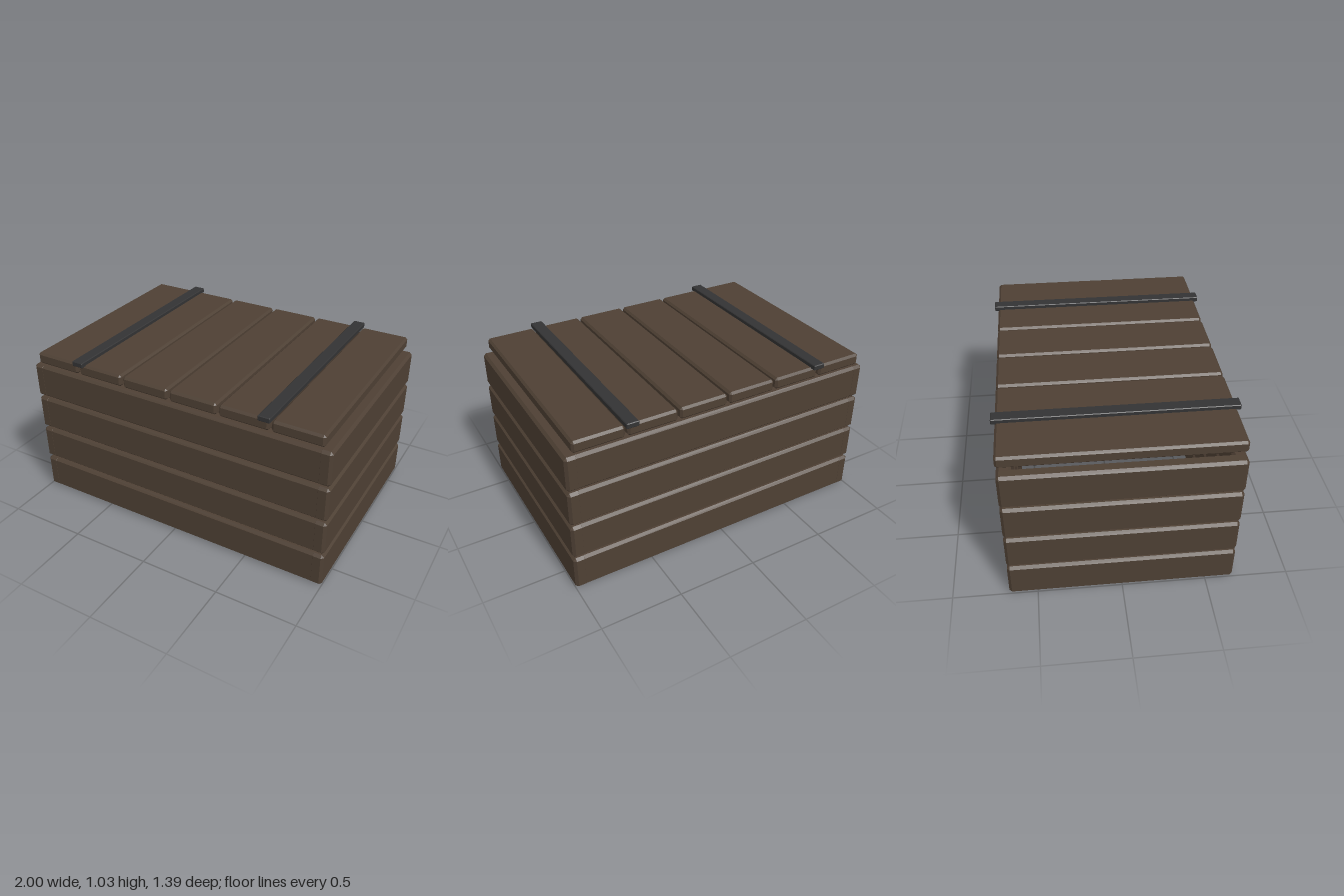
import * as THREE from 'three';
import { ConvexGeometry } from 'three/addons/geometries/ConvexGeometry.js';

const wood = new THREE.MeshStandardMaterial({ color: 0x4e4034 });
wood.name = 'darkWood';
const iron = new THREE.MeshStandardMaterial({ color: 0x333334 });
iron.name = 'darkIron';

// Box with every edge chamfered by c
function chamferedBox(w, h, d, c) {
  const half = [w / 2, h / 2, d / 2];
  const points = [];
  for (const sx of [-1, 1]) for (const sy of [-1, 1]) for (const sz of [-1, 1]) {
    for (let full = 0; full < 3; full++) {
      const p = half.map((v, i) => (i === full ? v : v - c));
      points.push(new THREE.Vector3(p[0] * sx, p[1] * sy, p[2] * sz));
    }
  }
  return new ConvexGeometry(points);
}

function addPart(parent, name, geometry, material, x, y, z) {
  const mesh = new THREE.Mesh(geometry, material);
  mesh.name = name;
  mesh.position.set(x, y, z);
  parent.add(mesh);
}

export function createModel() {
  const crate = new THREE.Group();
  crate.name = 'crate';

  // Four courses of wall boards, open at the bottom
  const walls = new THREE.Group();
  walls.name = 'walls';
  const longBoard = chamferedBox(1.91, 0.22, 0.08, 0.016);
  const endBoard = chamferedBox(0.08, 0.22, 1.336, 0.016);
  for (let i = 0; i < 4; i++) {
    const y = 0.111 + i * 0.2325;
    addPart(walls, 'frontBoard', longBoard, wood, 0, y, 0.627);
    addPart(walls, 'backBoard', longBoard, wood, 0, y, -0.627);
    addPart(walls, 'leftBoard', endBoard, wood, 0.96, y, 0);
    addPart(walls, 'rightBoard', endBoard, wood, -0.96, y, 0);
  }
  crate.add(walls);

  // Lid of six planks held by two straps
  const lid = new THREE.Group();
  lid.name = 'lid';
  const plank = chamferedBox(0.305, 0.073, 1.342, 0.013);
  for (let i = 0; i < 6; i++) {
    addPart(lid, 'lidPlank', plank, wood, 0.003 + (i - 2.5) * 0.32, 0.975, 0);
  }
  const strap = chamferedBox(0.074, 0.032, 1.386, 0.004);
  for (const side of [-1, 1]) {
    addPart(lid, 'strap', strap, iron, side * 0.619 - 0.003, 1.019, 0);
  }
  crate.add(lid);

  return crate;
}
